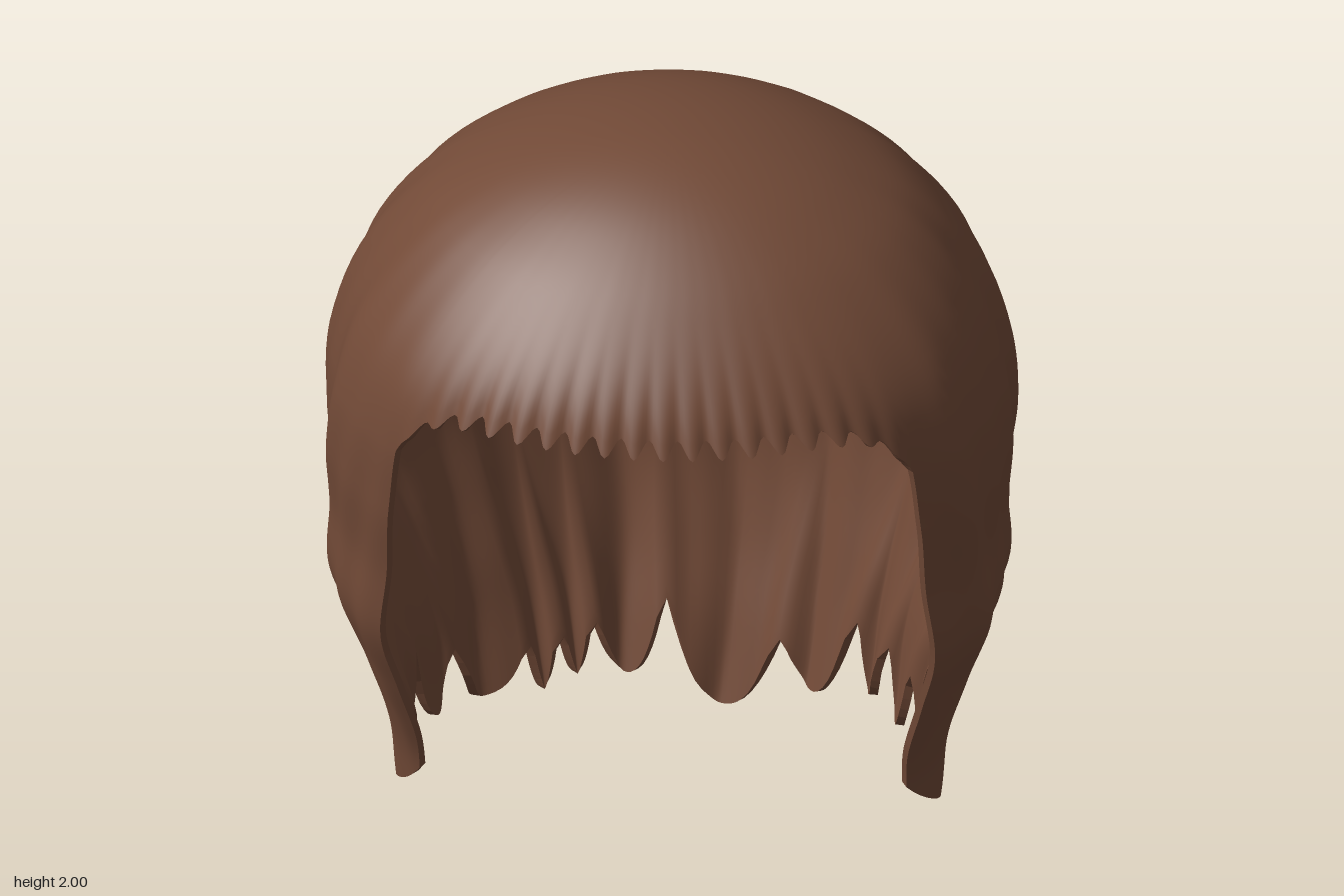
import * as THREE from 'three';

const rad = THREE.MathUtils.degToRad;
const smooth = THREE.MathUtils.smoothstep;

// Smooth interpolation through [position, value] pairs
function curve(points) {
  return (x) => {
    if (x <= points[0][0]) return points[0][1];
    const n = points.length - 1;
    if (x >= points[n][0]) return points[n][1];
    let i = 0;
    while (x > points[i + 1][0]) i++;
    const slope = (k) => {
      const a = points[Math.max(k - 1, 0)], b = points[Math.min(k + 1, n)];
      return (b[1] - a[1]) / (b[0] - a[0]);
    };
    const [x0, y0] = points[i], [x1, y1] = points[i + 1];
    const h = x1 - x0, t = (x - x0) / h, t2 = t * t, t3 = t2 * t;
    return y0 * (2 * t3 - 3 * t2 + 1) + h * slope(i) * (t3 - 2 * t2 + t)
      + y1 * (3 * t2 - 2 * t3) + h * slope(i + 1) * (t3 - t2);
  };
}

// Half width, front depth and back depth against height (spaced by sqrt(2 - y) so the crown is round)
const HEIGHTS = [2, 1.95, 1.9, 1.8, 1.6, 1.4, 1.2, 1, 0.8, 0.6, 0.4, 0.2, 0];
const profile = (values) => curve(values.map((v, i) => [Math.sqrt(2 - HEIGHTS[i]), v]));
const halfWidth = profile([0, 0.295, 0.415, 0.57, 0.72, 0.785, 0.8, 0.785, 0.785, 0.71, 0.645, 0.625, 0.6]);
const frontDepth = profile([0, 0.24, 0.335, 0.465, 0.63, 0.69, 0.7, 0.68, 0.66, 0.64, 0.62, 0.6, 0.58]);
const backDepth = profile([0, 0.295, 0.405, 0.545, 0.705, 0.78, 0.8, 0.795, 0.79, 0.77, 0.72, 0.65, 0.59]);
const CENTRE_Z = 0.07;

// Angle of the face opening's side edge against height, in degrees from the front
const CORNER = 53, CORNER_Y = 1.38;
const openingAngle = curve([[0.1, 76], [0.3, 74], [0.45, 69], [0.7, 63], [1, 58], [CORNER_Y, CORNER]]);

// Tufts along the lower hem: [start angle, notch height, tip height]
const TUFTS = [
  [73, 0.3, 0.21], [97, 0.29, 0.25], [107, 0.42, 0.12], [119, 0.3, 0.11], [131, 0.3, 0.12],
  [142, 0.3, 0.08], [159, 0.2, 0], [185, 0.27, 0.07], [201, 0.22, 0.09], [209, 0.2, 0.07],
  [217, 0.2, 0.1], [238, 0.3, 0.16], [254, 0.4, 0.22], [268, 0.34, 0.22], [287, 0.3, 0.3],
];
const TUFT_COLS = 16, SCALLOPS = 18, SCALLOP_COLS = 8, CAP_ROWS = 28, DROP_ROWS = 44;

function hairPoint(base, theta, y, extra) {
  const w = Math.sqrt(Math.max(2 - y, 0));
  const a = halfWidth(w), b = Math.cos(theta) > 0 ? frontDepth(w) : backDepth(w);
  const n = 2 + 0.15 * smooth(2 - y, 0.1, 0.5);
  const r = (Math.abs(Math.sin(theta) / a) ** n + Math.abs(Math.cos(theta) / b) ** n) ** (-1 / n);
  // Combed grooves that deepen away from the crown and sway on the way down
  const sway = 0.06 * Math.sin(4 * y + 2 * Math.sin(base)) * smooth(2 - y, 0.4, 1);
  const c = base + sway;
  const groove = Math.sin(19 * c + 1.5 * Math.sin(3 * c)) * 0.5
    + Math.sin(31 * c + 2 * Math.cos(2 * c)) * 0.3 + Math.sin(11 * c + 1) * 0.35;
  const calmFront = 0.2 + 0.8 * smooth(-Math.cos(base), -0.7, -0.3);
  const total = r + 0.015 * groove * calmFront * smooth(2 - y, 0.03, 0.8) + extra;
  return [total * Math.sin(theta), y, CENTRE_Z + total * Math.cos(theta)];
}

// Columns of points from the crown to the hem: long ones round the sides and back, short ones over the fringe
function hairColumns() {
  const columns = [];
  const capRow = (j, hem) => 2 - (2 - hem) * (j / CAP_ROWS) ** 2;
  // Hair beside the face turns slightly inward
  const tuck = (degrees, y) => -0.025 * Math.exp(-degrees / 7) * smooth(2 - y, 0.45, 0.8);
  const last = TUFTS.length - 1;
  for (let k = 0; k < last; k++) {
    const [start, notch, tip] = TUFTS[k], [end, nextNotch] = TUFTS[k + 1];
    for (let m = 0; m < TUFT_COLS + (k === last - 1 ? 1 : 0); m++) {
      const f = m / TUFT_COLS;
      const s = (start + (end - start) * f - 73) / 214;
      const hem = tip + ((f < 0.5 ? notch : nextNotch) - tip) * Math.abs(2 * f - 1) ** 2.2;
      const base = rad(CORNER + s * (360 - 2 * CORNER));
      const fromEdge = 214 * Math.min(s, 1 - s);
      const points = [];
      for (let j = 1; j <= CAP_ROWS; j++) {
        const y = capRow(j, CORNER_Y);
        points.push(hairPoint(base, base, y, tuck(fromEdge, y)));
      }
      for (let j = 1; j <= DROP_ROWS; j++) {
        const y = CORNER_Y + (hem - CORNER_Y) * j / DROP_ROWS;
        const edge = openingAngle(y);
        const theta = rad(edge + s * (360 - 2 * edge));
        const bulge = (Math.sin(Math.PI * f) - 0.6) * 0.035 * (1 - smooth(y - hem, 0, 0.55));
        points.push(hairPoint(base, theta, y, bulge + tuck(fromEdge, y)));
      }
      columns.push(points);
    }
  }
  const nFront = SCALLOPS * SCALLOP_COLS;
  for (let i = 1; i < nFront; i++) {
    const u = -1 + 2 * i / nFront;
    const wave = Math.cos(2 * Math.PI * i / SCALLOP_COLS) * (1 - Math.abs(u) ** 6);
    const hem = 1.545 + 0.02 * wave - 0.165 * Math.abs(u) ** 8;
    const angle = rad(u * CORNER);
    const points = [];
    for (let j = 1; j <= CAP_ROWS; j++) {
      const y = capRow(j, hem);
      const ripple = -0.007 * wave * (j / CAP_ROWS) ** 12;
      points.push(hairPoint(angle, angle, y, ripple + tuck(CORNER * (1 - Math.abs(u)), y)));
    }
    columns.push(points);
  }
  return columns;
}

function makeGeometry(positions, index) {
  const g = new THREE.BufferGeometry();
  g.setAttribute('position', new THREE.Float32BufferAttribute(positions, 3));
  g.setIndex(index);
  g.computeVertexNormals();
  return g;
}

function outerGeometry() {
  const columns = hairColumns();
  const positions = [0, 2, CENTRE_Z], starts = [], index = [];
  for (const column of columns) {
    starts.push(positions.length / 3);
    for (const p of column) positions.push(...p);
  }
  columns.forEach((column, i) => {
    const next = (i + 1) % columns.length;
    const A = starts[i], B = starts[next];
    index.push(0, A, B);
    const rows = Math.min(column.length, columns[next].length);
    for (let j = 0; j < rows - 1; j++) {
      index.push(A + j, A + j + 1, B + j + 1, A + j, B + j + 1, B + j);
    }
  });
  return makeGeometry(positions, index);
}

// Inner lining: the outer surface pushed inward and turned over
function innerGeometry(outer, thickness) {
  const p = outer.attributes.position.array, n = outer.attributes.normal.array;
  const positions = Array.from(p, (v, i) => v - n[i] * thickness);
  const index = Array.from(outer.index.array);
  for (let i = 0; i < index.length; i += 3) [index[i + 1], index[i + 2]] = [index[i + 2], index[i + 1]];
  return makeGeometry(positions, index);
}

// Rim joining the open edges of the two layers
function rimGeometry(outer, inner) {
  const idx = outer.index.array, count = outer.attributes.position.count;
  const edges = new Set();
  for (let i = 0; i < idx.length; i += 3) {
    for (let e = 0; e < 3; e++) edges.add(idx[i + e] * count + idx[i + (e + 1) % 3]);
  }
  const positions = [], index = [];
  const put = (g, i) => positions.push(...g.attributes.position.array.slice(i * 3, i * 3 + 3));
  for (const key of edges) {
    const a = Math.floor(key / count), b = key % count;
    if (edges.has(b * count + a)) continue;
    const k = positions.length / 3;
    put(outer, b); put(outer, a); put(inner, a); put(inner, b);
    index.push(k, k + 1, k + 2, k, k + 2, k + 3);
  }
  return makeGeometry(positions, index);
}

export function createModel() {
  const group = new THREE.Group();
  group.name = 'bobHair';
  const brown = new THREE.MeshStandardMaterial({ color: 0x724a37 });
  brown.name = 'brownHair';
  const add = (name, geometry) => {
    const mesh = new THREE.Mesh(geometry, brown);
    mesh.name = name;
    group.add(mesh);
  };
  const outer = outerGeometry();
  const inner = innerGeometry(outer, 0.02);
  add('outerHair', outer);
  add('innerHair', inner);
  add('hairEdge', rimGeometry(outer, inner));
  return group;
}
